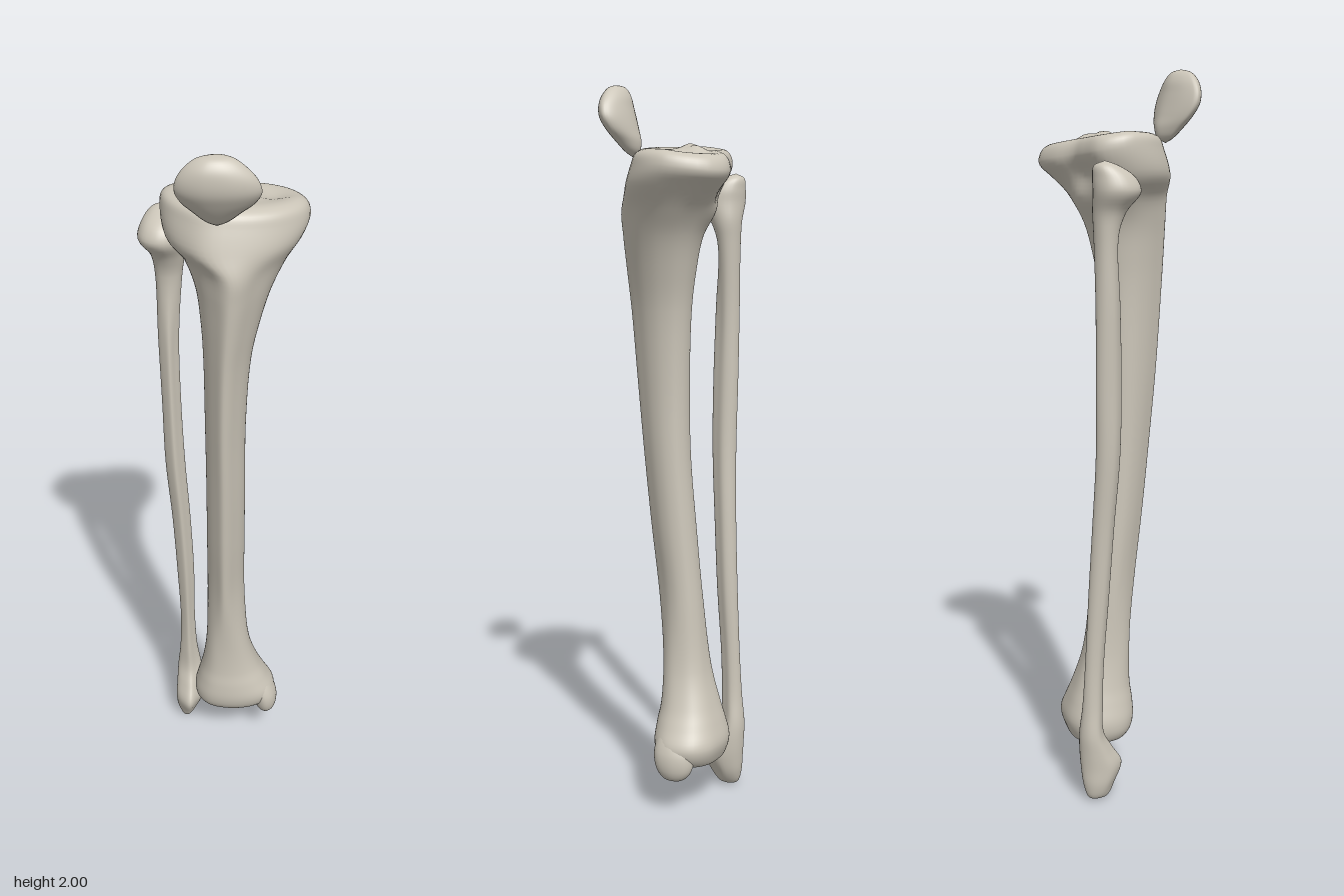
import * as THREE from 'three';
import { mergeVertices } from 'three/addons/utils/BufferGeometryUtils.js';

// Cross-section outlines in a -1..1 box: +x, then front, -x, back
const PLATEAU = [[1, -.15], [.91, .32], [.59, .73], [.11, .97], [-.37, 1], [-.7, .73], [-.94, .32],
  [-1, -.15], [-.83, -.55], [-.48, -.65], [-.21, -.7], [.11, -.93], [.48, -1], [.8, -.79]];
const SHAFT = [[1, -.2], [.85, .25], [.5, .65], [.15, .95], [-.15, 1], [-.5, .7], [-.85, .25],
  [-1, -.2], [-.85, -.65], [-.5, -.9], [-.2, -1], [.2, -1], [.55, -.9], [.88, -.65]];
const ANKLE = [[1, 0], [.95, .45], [.7, .8], [.3, .98], [-.2, 1], [-.65, .85], [-.92, .5],
  [-1, 0], [-.9, -.5], [-.65, -.85], [-.3, -1], [.2, -.95], [.6, -.8], [.9, -.45]];
const ROUND = [[1, 0], [.72, .7], [0, 1], [-.72, .7], [-1, 0], [-.72, -.7], [0, -1], [.72, -.7]];
const RIDGED = [[1, -.1], [.6, .5], [.1, 1], [-.45, .75], [-1, .15], [-.8, -.6], [-.1, -1], [.7, -.75]];
const KNEECAP = [[1, .1], [.8, .55], [.4, .88], [0, 1], [-.4, .95], [-.8, .6], [-1, .1],
  [-.8, -.3], [-.4, -.75], [0, -1], [.4, -.9], [.8, -.5]];

// Smooth loft through sections [y, xMin, xMax, zMin, zMax, outline], bottom to top
function loft(sections, around, along, deform) {
  const rings = sections.map(([y, x0, x1, z0, z1, outline]) => {
    const points = outline.map(([u, v]) => new THREE.Vector3(u, 0, v));
    const curve = new THREE.CatmullRomCurve3(points, true);
    return Array.from({ length: around }, (_, j) => {
      const p = curve.getPoint(j / around);
      return new THREE.Vector3((x0 + x1 + p.x * (x1 - x0)) / 2, y, (z0 + z1 + p.z * (z1 - z0)) / 2);
    });
  });
  const rows = (sections.length - 1) * along;
  const columns = Array.from({ length: around },
    (_, j) => new THREE.CatmullRomCurve3(rings.map((ring) => ring[j])));
  const positions = [], index = [];
  for (let i = 0; i <= rows; i++) {
    for (let j = 0; j < around; j++) {
      const p = columns[j].getPoint(i / rows);
      if (deform) deform(p);
      positions.push(p.x, p.y, p.z);
      if (i === rows) continue;
      const a = i * around + j, b = i * around + (j + 1) % around;
      index.push(a, a + around, b, b, a + around, b + around);
    }
  }
  const geometry = new THREE.BufferGeometry();
  geometry.setAttribute('position', new THREE.Float32BufferAttribute(positions, 3));
  geometry.setIndex(index);
  const welded = mergeVertices(geometry, 1e-5);
  welded.computeVertexNormals();
  return welded;
}

// Dished knee surface with a central eminence and a drop to the inner back
function kneeSurface(p) {
  const w = THREE.MathUtils.smoothstep(p.y, 1.7, 1.8);
  const top = THREE.MathUtils.smoothstep(p.y, 1.79, 1.82);
  const bump = (x, z, r) => Math.exp(-((p.x - x) ** 2 + (p.z - z) ** 2) / (r * r));
  p.y += w * (-.07 * p.x + .15 * Math.min(0, p.z + .05));
  p.y += top * (.016 * bump(.05, -.09, .028) + .016 * bump(.005, -.06, .028)
    - .012 * bump(.12, -.08, .05) - .004 * bump(-.07, -.04, .05));
}

export function createModel() {
  const model = new THREE.Group();
  model.name = 'lowerLegBones';
  const bone = new THREE.MeshStandardMaterial({ color: 0xcbc5b8 });
  bone.name = 'bone';
  const add = (name, geometry) => {
    const mesh = new THREE.Mesh(geometry, bone);
    mesh.name = name;
    model.add(mesh);
  };

  // Shin bone, from the ankle joint to the knee plateau
  add('shinBone', loft([
    [.155, .03, .03, -.08, -.08, ANKLE],
    [.148, -.03, .08, -.12, -.04, ANKLE],
    [.142, -.065, .12, -.155, -.012, ANKLE],
    [.165, -.082, .15, -.168, .01, ANKLE],
    [.2, -.086, .16, -.175, .02, ANKLE],
    [.25, -.075, .135, -.163, .018, ANKLE],
    [.3, -.063, .11, -.147, .011, ANKLE],
    [.4, -.05, .08, -.12, .01, ANKLE],
    [.6, -.045, .064, -.095, .03, SHAFT],
    [.8, -.045, .063, -.075, .054, SHAFT],
    [1, -.045, .063, -.058, .075, SHAFT],
    [1.2, -.047, .063, -.054, .094, SHAFT],
    [1.4, -.05, .075, -.06, .11, SHAFT],
    [1.5, -.056, .095, -.073, .119, SHAFT],
    [1.6, -.07, .125, -.095, .127, SHAFT],
    [1.67, -.1, .16, -.13, .13, SHAFT],
    [1.73, -.145, .197, -.168, .115, PLATEAU],
    [1.79, -.157, .218, -.196, .095, PLATEAU],
    [1.82, -.15, .21, -.188, .082, PLATEAU],
    [1.833, -.125, .185, -.168, .055, PLATEAU],
    [1.829, -.06, .12, -.12, 0, PLATEAU],
    [1.828, .03, .03, -.06, -.06, PLATEAU],
  ], 56, 5, kneeSurface));

  // Inner ankle knob
  add('innerAnkle', loft([
    [.105, .135, .135, -.06, -.06, ROUND],
    [.112, .115, .155, -.09, -.03, ROUND],
    [.14, .1, .168, -.112, -.008, ROUND],
    [.19, .088, .165, -.115, 0, ROUND],
    [.26, .07, .122, -.09, -.02, ROUND],
    [.3, .08, .08, -.06, -.06, ROUND],
  ], 32, 5));

  // Calf bone, from the outer ankle to its head under the knee
  add('calfBone', loft([
    [.005, -.118, -.118, -.14, -.14, ROUND],
    [.015, -.135, -.102, -.165, -.108, ROUND],
    [.05, -.147, -.08, -.177, -.083, RIDGED],
    [.1, -.15, -.066, -.182, -.06, RIDGED],
    [.15, -.148, -.066, -.185, -.088, RIDGED],
    [.2, -.145, -.072, -.186, -.115, RIDGED],
    [.28, -.137, -.084, -.178, -.118, RIDGED],
    [.4, -.133, -.09, -.17, -.115, RIDGED],
    [.6, -.14, -.09, -.16, -.1, RIDGED],
    [.8, -.15, -.098, -.151, -.088, RIDGED],
    [1, -.165, -.11, -.145, -.076, RIDGED],
    [1.2, -.17, -.118, -.147, -.075, RIDGED],
    [1.4, -.176, -.12, -.148, -.08, RIDGED],
    [1.58, -.18, -.108, -.15, -.086, ROUND],
    [1.64, -.19, -.1, -.153, -.065, ROUND],
    [1.69, -.22, -.1, -.157, -.032, ROUND],
    [1.725, -.212, -.105, -.158, -.045, ROUND],
    [1.755, -.19, -.125, -.155, -.09, ROUND],
    [1.768, -.165, -.165, -.13, -.13, ROUND],
  ], 32, 5));

  // Kneecap, leaning back towards its lower tip
  add('kneecap', loft([
    [1.81, -.01, -.01, .115, .115, KNEECAP],
    [1.822, -.038, .018, .095, .132, KNEECAP],
    [1.85, -.068, .05, .09, .157, KNEECAP],
    [1.88, -.095, .082, .097, .178, KNEECAP],
    [1.91, -.108, .096, .105, .194, KNEECAP],
    [1.94, -.104, .088, .113, .199, KNEECAP],
    [1.97, -.085, .062, .121, .195, KNEECAP],
    [1.992, -.055, .03, .135, .18, KNEECAP],
    [2, -.015, -.015, .157, .157, KNEECAP],
  ], 48, 5));

  return model;
}
